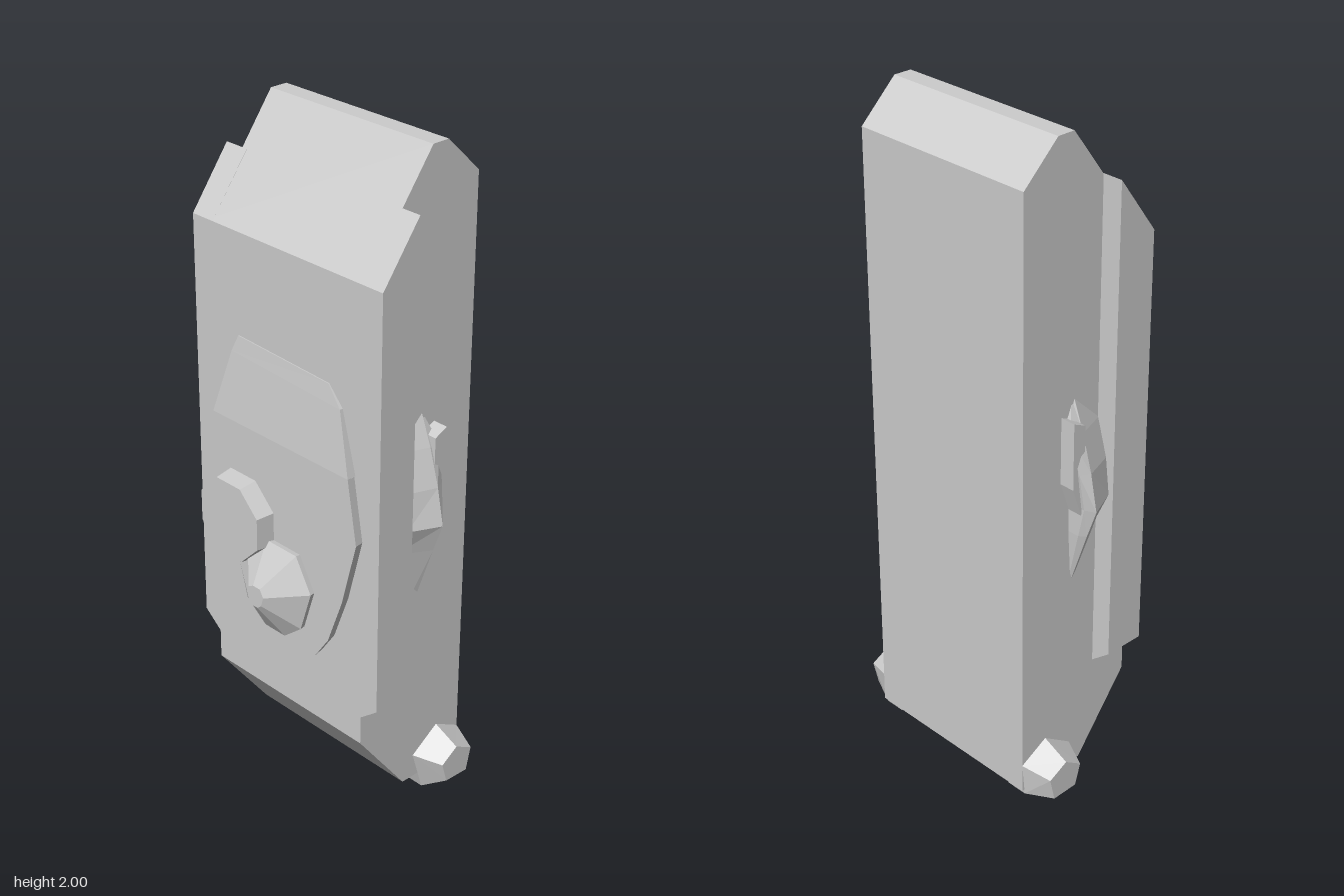
import * as THREE from 'three';

const material = new THREE.MeshStandardMaterial({ color: 0xcccccc, flatShading: true });

// Closed solid through matching convex rings of [x, y, z] points, faces turned outward
function loft(name, rings) {
  const tris = [];
  const n = rings[0].length;
  const first = rings[0], last = rings[rings.length - 1];
  for (let r = 0; r < rings.length - 1; r++) {
    for (let i = 0; i < n; i++) {
      const j = (i + 1) % n;
      const a = rings[r][i], b = rings[r][j], c = rings[r + 1][j], d = rings[r + 1][i];
      tris.push([a, b, c], [a, c, d]);
    }
  }
  for (let i = 1; i < n - 1; i++) {
    tris.push([first[0], first[i + 1], first[i]], [last[0], last[i], last[i + 1]]);
  }
  // The signed volume tells whether the winding has to be reversed
  const v = (p) => new THREE.Vector3(...p);
  const volume = tris.reduce((sum, [a, b, c]) => sum + v(a).dot(v(b).cross(v(c))), 0);
  if (volume < 0) tris.forEach((t) => t.reverse());
  const geometry = new THREE.BufferGeometry();
  geometry.setAttribute('position', new THREE.Float32BufferAttribute(tris.flat(2), 3));
  geometry.computeVertexNormals();
  const mesh = new THREE.Mesh(geometry, material);
  mesh.name = name;
  return mesh;
}

// Ring of [z, y] points standing at x
const atX = (x, points) => points.map(([z, y]) => [x, y, z]);
// Ring of [x, y] points at z, scaled about a centre
const atZ = (z, points, s = 1, cx = 0, cy = 0) =>
  points.map(([x, y]) => [cx + (x - cx) * s, cy + (y - cy) * s, z]);

export function createModel() {
  const model = new THREE.Group();
  model.name = 'slabDevice';

  // Main body, a bevelled profile running across x
  const profile = [[0.14, 0.29], [0.14, 1.69], [-0.09, 2], [-0.145, 2],
    [-0.26, 1.89], [-0.26, 0.06], [-0.035, 0.06]];
  model.add(loft('body', [atX(-0.293, profile), atX(0.303, profile)]));

  for (const side of [1, -1]) {
    const name = side > 0 ? 'left' : 'right';
    const X = (x) => 0.005 + side * x;

    // Front side rail, chamfered at the bottom
    const rail = (x, y) => atX(X(x), [[0.14, y], [0.14, 1.69], [0.015, 1.86], [0.015, y]]);
    model.add(loft(name + 'Rail', [rail(0.28, 0.37), rail(0.298, 0.38), rail(0.36, 0.43)]));

    // Five-sided foot with a tapered outer end
    const foot = [[-0.17, 0.2], [-0.075, 0.135], [-0.115, 0.003], [-0.25, 0.045], [-0.26, 0.15]];
    const tip = [[-0.17, 0.163], [-0.113, 0.125], [-0.132, 0.06], [-0.215, 0.057], [-0.232, 0.13]];
    model.add(loft(name + 'Foot', [atX(X(0.232), foot), atX(X(0.298), foot), atX(X(0.382), tip)]));

    // Ridged side fin: y, front x, ridge x, back x, front z, back z
    const fin = [
      [0.70, 0.292, 0.298, 0.292, -0.06, -0.08],
      [0.86, 0.3, 0.353, 0.335, 0.018, -0.09],
      [0.95, 0.343, 0.386, 0.355, 0.018, -0.09],
      [1.06, 0.33, 0.364, 0.35, 0.018, -0.105],
      [1.17, 0.298, 0.332, 0.325, 0.018, -0.115],
      [1.26, 0.292, 0.298, 0.292, -0.06, -0.08],
    ];
    model.add(loft(name + 'Fin', fin.map(([y, xf, xr, xb, zf, zb]) => [
      [X(0.28), y, zf], [X(xf), y, zf], [X(xr), y, -0.075], [X(xb), y, zb], [X(0.28), y, zb],
    ])));

    // Small raised plate behind the fin ridge
    const plate = [[-0.08, 1.2], [-0.122, 1.22], [-0.122, 1.02], [-0.08, 0.9]];
    model.add(loft(name + 'FinPlate', [atX(X(0.285), plate), atX(X(0.345), plate)]));
  }

  // Shield-shaped front panel, flat below and sloping back above
  const shield = [[-0.262, 1.14], [-0.312, 0.95], [-0.265, 0.75], [-0.207, 0.6], [-0.155, 0.545],
    [-0.09, 0.527], [0.15, 0.527], [0.2, 0.6], [0.255, 0.75], [0.307, 0.95], [0.274, 1.14]];
  model.add(loft('panel', [atZ(0.13, shield, 0.98, 0, 0.9), atZ(0.168, shield)]));
  const slope = [
    [[-0.262, 1.14, 0.168], [0.274, 1.14, 0.168], [0.274, 1.14, 0.13], [-0.262, 1.14, 0.13]],
    [[-0.2, 1.34, 0.149], [0.225, 1.32, 0.15], [0.225, 1.32, 0.13], [-0.2, 1.34, 0.13]],
    [[-0.178, 1.39, 0.143], [0.175, 1.375, 0.143], [0.175, 1.375, 0.13], [-0.178, 1.39, 0.13]],
  ];
  model.add(loft('panelSlope', slope));

  // Octagonal button
  const octagon = Array.from({ length: 8 }, (_, i) => {
    const a = (i + 0.5) * Math.PI / 4;
    return [-0.142 + 0.135 * Math.cos(a), 0.862 + 0.135 * Math.sin(a)];
  });
  model.add(loft('button', [atZ(0.14, octagon), atZ(0.165, octagon),
    atZ(0.223, octagon, 0.935, -0.142, 0.862)]));

  // Faceted conical knob
  const knob = [[0.04, 0.545], [0.107, 0.6], [0.148, 0.73], [0.09, 0.83], [-0.03, 0.83],
    [-0.11, 0.79], [-0.147, 0.715], [-0.115, 0.6], [-0.04, 0.545]];
  model.add(loft('knob', [atZ(0.14, knob, 0.95, 0, 0.69), atZ(0.184, knob),
    atZ(0.257, knob, 0.23, 0, 0.69)]));

  return model;
}
